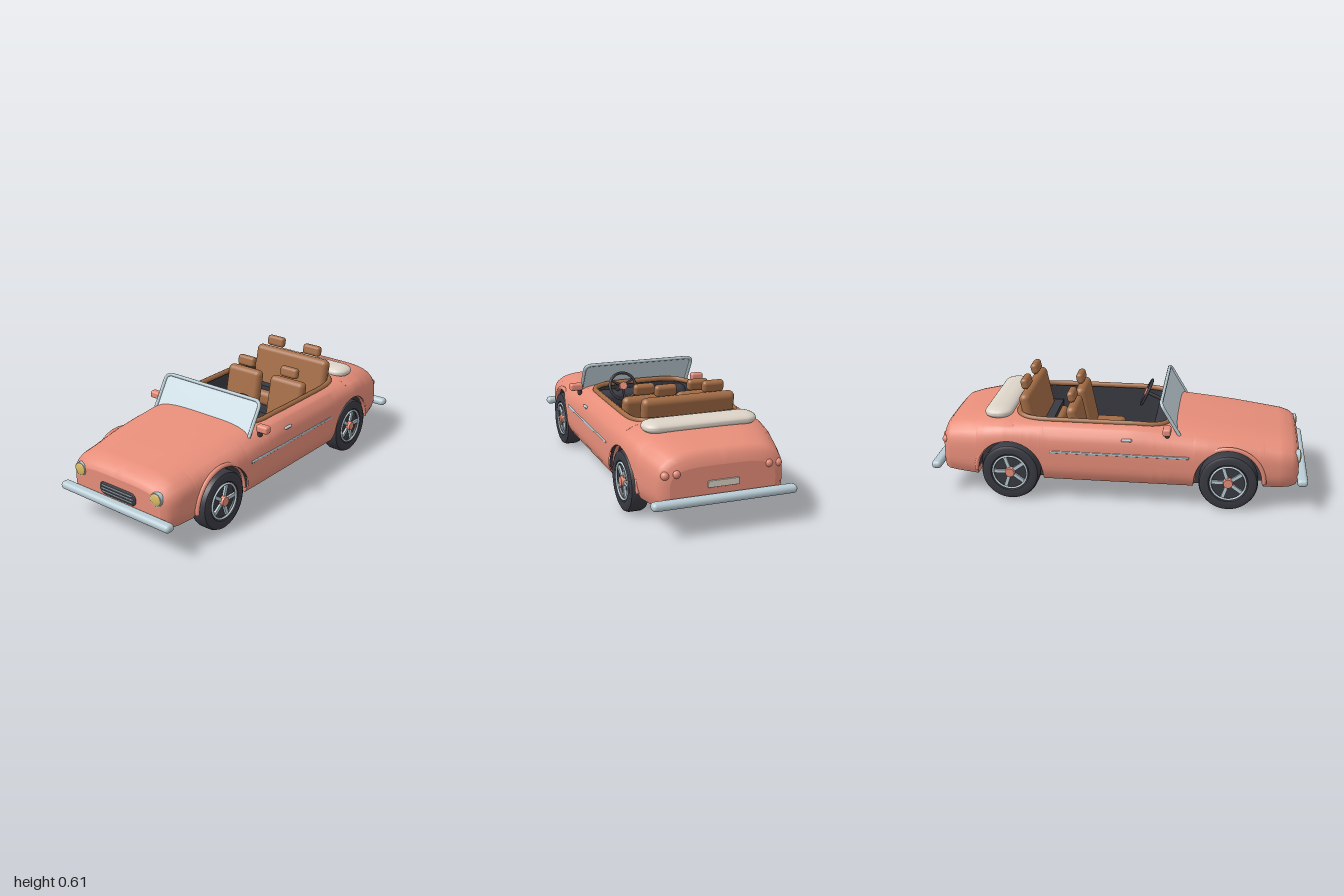
import * as THREE from 'three';
import { mergeVertices, toCreasedNormals } from 'three/addons/utils/BufferGeometryUtils.js';
import { RoundedBoxGeometry } from 'three/addons/geometries/RoundedBoxGeometry.js';

const mat = (name, color, side = THREE.FrontSide) => {
  const m = new THREE.MeshStandardMaterial({ color, side });
  m.name = name;
  return m;
};

// Body stations: z, half width, crown height, bottom height, squareness
const STATIONS = [
  [-0.947, 0.27, 0.325, 0.15, 4], [-0.938, 0.3, 0.365, 0.135, 4], [-0.915, 0.32, 0.39, 0.128, 4],
  [-0.85, 0.34, 0.41, 0.126, 4], [-0.7, 0.375, 0.434, 0.126, 4.5], [-0.6, 0.386, 0.442, 0.126, 5],
  [-0.3, 0.387, 0.446, 0.126, 5], [0.1, 0.387, 0.445, 0.126, 5], [0.3, 0.387, 0.43, 0.126, 4.2],
  [0.48, 0.385, 0.414, 0.126, 4], [0.6, 0.376, 0.402, 0.126, 4], [0.72, 0.358, 0.388, 0.126, 4],
  [0.87, 0.343, 0.367, 0.126, 4], [0.915, 0.33, 0.352, 0.128, 4], [0.94, 0.308, 0.333, 0.135, 4],
  [0.952, 0.28, 0.305, 0.15, 4],
];
const WHEEL_Z = [0.59, -0.565], AXLE_Y = 0.155, ARCH = 0.18, BELT = 0.2;
const PIT_Z = -0.1325, PIT_L = 0.4125, PIT_W = 0.29;

function station(z) {
  let i = 0;
  while (i < STATIONS.length - 2 && z > STATIONS[i + 1][0]) i++;
  const a = STATIONS[i], b = STATIONS[i + 1], t = (z - a[0]) / (b[0] - a[0]);
  return a.map((v, k) => v + (b[k] - v) * t);
}
const inArch = (z) => WHEEL_Z.some((c) => Math.abs(z - c) < ARCH + 1e-5);
function bottomY(z) {
  for (const c of WHEEL_Z)
    if (Math.abs(z - c) < ARCH + 1e-5) return AXLE_Y + Math.sqrt(Math.max(0, ARCH ** 2 - (z - c) ** 2));
  return station(z)[3];
}
function sideX(y, z) {
  const [, w, top, , n] = station(z);
  if (y < BELT) return w * (1 - 0.06 * ((BELT - y) / 0.07) ** 2);
  return w * Math.max(0, 1 - ((y - BELT) / (top - BELT)) ** n) ** (1 / n);
}
function topY(x, z) {
  const [, w, top, , n] = station(z);
  return BELT + (top - BELT) * Math.max(0, 1 - (x / w) ** n) ** (1 / n);
}
function pitX(z) {
  const u = Math.abs(z - PIT_Z) / PIT_L;
  return u >= 1 ? 0 : PIT_W * (1 - u ** 6) ** (1 / 6);
}
// Half cross-section from the sill up and in to the centre or cockpit edge
function section(z) {
  const [, , top] = station(z), y0 = bottomY(z), ym = BELT + 0.85 * (top - BELT), pts = [];
  for (let j = 0; j <= 9; j++) {
    const y = y0 + (ym - y0) * (j / 9);
    pts.push([sideX(y, z), y]);
  }
  const xs = sideX(ym, z), xe = pitX(z);
  for (let j = 1; j <= 8; j++) {
    const x = xs + (xe - xs) * (j / 8);
    pts.push([x, topY(x, z)]);
  }
  return pts;
}
function geometry(pos, idx) {
  let g = new THREE.BufferGeometry();
  g.setAttribute('position', new THREE.Float32BufferAttribute(pos, 3));
  g.setIndex(idx);
  g = mergeVertices(g, 1e-5);
  g.computeVertexNormals();
  return g;
}

export function createModel() {
  const car = new THREE.Group();
  car.name = 'convertible';
  const coral = mat('coralPaint', 0xe78e7a, THREE.DoubleSide), dark = mat('darkRubber', 0x3a3a43, THREE.DoubleSide);
  const chrome = mat('chrome', 0xb9ccd5), glass = mat('glass', 0xc8d8e0, THREE.DoubleSide);
  const leather = mat('brownLeather', 0xa36c45), cream = mat('creamCanvas', 0xddd4c8), lamp = mat('yellowLamp', 0xd9bb63);
  const add = (name, geo, m, x = 0, y = 0, z = 0, parent = car) => {
    const mesh = new THREE.Mesh(geo, m);
    mesh.name = name;
    mesh.position.set(x, y, z);
    parent.add(mesh);
    return mesh;
  };
  const rbox = (w, h, d, r) => new RoundedBoxGeometry(w, h, d, 4, r);

  // Stations along the body, denser at arches and cockpit ends
  let zs = STATIONS.map((s) => s[0]);
  for (let z = -0.9; z <= 0.9; z += 0.05) zs.push(z);
  for (const c of WHEEL_Z) {
    for (let k = 0; k <= 24; k++) zs.push(c + ARCH * Math.cos((k / 24) * Math.PI));
    zs.push(c + ARCH + 0.001, c - ARCH - 0.001);
  }
  for (const a of [30, 45, 55, 63, 70, 76, 80, 84, 87, 89, 89.8, 90])
    for (const s of [1, -1]) zs.push(PIT_Z + s * PIT_L * Math.sin((a * Math.PI) / 180) ** (1 / 3));
  zs = zs.sort((a, b) => a - b).filter((z, i, l) => i === 0 || z - l[i - 1] > 1e-4);

  // Body shell, mirrored halves
  const pos = [], idx = [], N = 18;
  for (const s of [1, -1]) {
    const base = pos.length / 3;
    zs.forEach((z) => section(z).forEach(([x, y]) => pos.push(s * x, y, z)));
    for (let i = 0; i < zs.length - 1; i++)
      for (let j = 0; j < N - 1; j++) {
        const a = base + i * N + j, b = a + 1, c = a + N, d = c + 1;
        idx.push(...(s > 0 ? [a, b, c, b, d, c] : [a, c, b, b, c, d]));
      }
  }
  add('bodyShell', geometry(pos, idx), coral);
  for (const z of [zs[0], zs[zs.length - 1]]) {
    const h = section(z), m = h.slice(0, -1).reverse().map(([x, y]) => [-x, y]);
    const face = new THREE.ShapeGeometry(new THREE.Shape([...h, ...m].map((p) => new THREE.Vector2(...p))));
    if (z < 0) face.rotateY(Math.PI);
    add(z > 0 ? 'nosePanel' : 'tailPanel', face, coral, 0, 0, z);
  }
  // Underside, with dark wheel wells
  for (const well of [false, true]) {
    const p = [], f = [];
    for (let i = 0; i < zs.length - 1; i++) {
      if ((inArch(zs[i]) && inArch(zs[i + 1])) !== well) continue;
      const o = p.length / 3;
      for (const z of [zs[i], zs[i + 1]]) {
        const y = bottomY(z), x = sideX(y, z) - (well ? 0.004 : 0);
        p.push(-x, y, z, x, y, z);
      }
      f.push(o, o + 1, o + 2, o + 1, o + 3, o + 2);
    }
    add(well ? 'wheelWells' : 'underside', geometry(p, f), well ? dark : coral);
  }
  add('floorPan', new THREE.BoxGeometry(0.53, 0.06, 1.44), dark, 0, 0.126, 0.0125);
  for (const z of WHEEL_Z) add('wellInnerWall', new THREE.BoxGeometry(0.53, 0.21, 0.358), dark, 0, 0.235, z);

  // Cockpit tub and padded rim
  const rim = [], root = (v) => Math.sign(v) * Math.abs(v) ** (1 / 3);
  for (let k = 0; k < 72; k++) {
    const a = ((k + 0.5) / 72) * Math.PI * 2;
    const x = PIT_W * root(Math.cos(a)), z = PIT_Z + PIT_L * root(Math.sin(a));
    rim.push(new THREE.Vector3(x, topY(Math.abs(x), z), z));
  }
  const wall = [], wallIdx = [];
  rim.forEach((p, k) => {
    const n = (k + 1) % 72;
    wall.push(p.x, p.y, p.z, p.x, 0.16, p.z);
    wallIdx.push(2 * k, 2 * k + 1, 2 * n, 2 * n, 2 * k + 1, 2 * n + 1);
  });
  add('cockpitWalls', geometry(wall, wallIdx), dark);
  const floor = new THREE.ShapeGeometry(new THREE.Shape(rim.map((p) => new THREE.Vector2(p.x, -p.z))));
  add('cockpitFloor', floor.rotateX(-Math.PI / 2), dark, 0, 0.162, 0);
  add('cockpitRim', new THREE.TubeGeometry(new THREE.CatmullRomCurve3(rim, true), 200, 0.015, 8, true), leather);
  add('dashboard', rbox(0.56, 0.1, 0.1, 0.04), dark, 0, 0.355, 0.23);

  // Windscreen
  const screen = new THREE.Group();
  screen.name = 'windscreen';
  screen.position.set(0, 0.39, 0.33);
  screen.rotation.x = -0.54;
  car.add(screen);
  const outline = new THREE.Shape();
  outline.moveTo(0.322, 0).lineTo(0.322, 0.155).quadraticCurveTo(0.322, 0.195, 0.282, 0.195);
  outline.lineTo(-0.282, 0.195).quadraticCurveTo(-0.322, 0.195, -0.322, 0.155).lineTo(-0.322, 0);
  add('screenGlass', new THREE.ShapeGeometry(outline), glass, 0, 0, 0, screen);
  const path = new THREE.CatmullRomCurve3(outline.getSpacedPoints(80).map((p) => new THREE.Vector3(p.x, p.y, 0)));
  add('screenFrame', new THREE.TubeGeometry(path, 120, 0.0095, 8), chrome, 0, 0, 0, screen);

  // Seats: cushion, leaning back and headrests
  const seat = (name, x, z, w, lift, depth, rests) => {
    const g = new THREE.Group();
    g.name = name;
    g.position.set(x, lift, z);
    car.add(g);
    add('cushion', rbox(w, 0.09, depth, 0.03), leather, 0, 0.215, depth / 2 - 0.01, g);
    add('backrest', rbox(w, 0.3, 0.062, 0.03), leather, 0, 0.345, -0.035, g).rotation.x = -0.2;
    for (const r of rests) add('headrest', rbox(0.115, 0.06, 0.042, 0.018), leather, r, 0.528, -0.07, g).rotation.x = -0.2;
  };
  seat('frontSeatLeft', 0.15, -0.19, 0.23, 0, 0.185, [0]);
  seat('frontSeatRight', -0.15, -0.19, 0.23, 0, 0.185, [0]);
  seat('rearBench', 0, -0.443, 0.5, 0.055, 0.105, [-0.127, 0.127]);
  add('foldedRoof', rbox(0.595, 0.15, 0.15, 0.068).scale(1, 0.42, 1), cream, 0, 0.447, -0.643);

  // Steering wheel
  const steer = new THREE.Group();
  steer.name = 'steeringWheel';
  steer.position.set(0.14, 0.452, 0.115);
  steer.rotation.x = 0.42;
  car.add(steer);
  add('steeringRim', new THREE.TorusGeometry(0.075, 0.008, 8, 32), dark, 0, 0, 0, steer);
  for (let k = 0; k < 3; k++) {
    const spoke = new THREE.BoxGeometry(0.012, 0.075, 0.008).translate(0, 0.0375, 0);
    add('steeringSpoke', spoke, dark, 0, 0, 0, steer).rotation.z = Math.PI + (k * Math.PI * 2) / 3;
  }
  add('steeringHub', new THREE.CylinderGeometry(0.022, 0.022, 0.02, 20).rotateX(Math.PI / 2), coral, 0, 0, -0.004, steer);
  add('steeringColumn', new THREE.CylinderGeometry(0.01, 0.01, 0.14, 12).rotateX(Math.PI / 2), dark, 0, 0, 0.075, steer);

  // Wheels with spoked rims, and arch lips
  const tyreProfile = [[0, -0.045], [0.1, -0.045], [0.135, -0.05], [0.149, -0.043], [0.155, -0.028], [0.155, 0.028],
    [0.149, 0.043], [0.135, 0.05], [0.104, 0.047], [0.095, 0.025], [0, 0.025]].map((p) => new THREE.Vector2(...p));
  const tyre = toCreasedNormals(new THREE.LatheGeometry(tyreProfile, 40), 0.7);
  for (const s of [1, -1])
    for (const z of WHEEL_Z) {
      const wheel = new THREE.Group();
      wheel.name = (z > 0 ? 'front' : 'rear') + 'Wheel' + (s > 0 ? 'Left' : 'Right');
      wheel.position.set(s * 0.33, AXLE_Y, z);
      wheel.rotation.z = (-s * Math.PI) / 2;
      car.add(wheel);
      add('tyre', tyre, dark, 0, 0, 0, wheel);
      add('rimRing', new THREE.TorusGeometry(0.092, 0.006, 8, 40).rotateX(Math.PI / 2), chrome, 0, 0.044, 0, wheel);
      for (let k = 0; k < 5; k++) {
        const spoke = new THREE.BoxGeometry(0.09, 0.012, 0.018).translate(0.045, 0, 0);
        add('wheelSpoke', spoke, chrome, 0, 0.036, 0, wheel).rotation.y = (k * Math.PI * 2) / 5 + Math.PI / 10;
      }
      add('wheelHub', new THREE.CylinderGeometry(0.024, 0.028, 0.022, 20), coral, 0, 0.043, 0, wheel);
      const lip = new THREE.TorusGeometry(0.185, 0.012, 8, 36, Math.PI).rotateY(Math.PI / 2);
      add('archLip', lip, coral, s * 0.357, AXLE_Y, z);
    }

  // Bumpers and plates
  for (const s of [1, -1])
    add(s > 0 ? 'frontBumper' : 'rearBumper', rbox(0.74, 0.042, 0.055, 0.02), chrome, 0, 0.169, s * 0.9725);
  add('frontPlate', rbox(0.16, 0.035, 0.009, 0.003), cream, 0, 0.138, 0.945).rotation.x = 0.75;
  add('rearPlate', rbox(0.16, 0.035, 0.009, 0.003), cream, 0, 0.235, -0.949);

  // Grille
  const mouth = new THREE.CapsuleGeometry(0.035, 0.18, 8, 24).rotateZ(Math.PI / 2).scale(1, 1, 0.2);
  add('grille', mouth, dark, 0, 0.225, 0.952);
  for (const [y, w] of [[0.243, 0.2], [0.226, 0.21], [0.209, 0.2]])
    add('grilleBar', new THREE.CapsuleGeometry(0.004, w, 4, 8).rotateZ(Math.PI / 2), chrome, 0, y, 0.959);

  // Mirrored side fittings and lights
  for (const s of [1, -1]) {
    add('headlightRing', new THREE.CylinderGeometry(0.036, 0.038, 0.06, 32).rotateX(Math.PI / 2), chrome, s * 0.257, 0.278, 0.925);
    add('headlight', new THREE.SphereGeometry(0.032, 24, 16).scale(1, 1, 0.25), lamp, s * 0.257, 0.278, 0.955);
    add('tailLightInner', new THREE.SphereGeometry(0.021, 16, 12), coral, s * 0.235, 0.3, -0.937);
    add('tailLightOuter', new THREE.SphereGeometry(0.021, 16, 12), coral, s * 0.288, 0.295, -0.929);
    add('sideTrim', rbox(0.01, 0.013, 0.73, 0.004), chrome, s * 0.384, 0.29, 0.02);
    add('doorHandle', rbox(0.02, 0.014, 0.056, 0.006), chrome, s * 0.373, 0.37, 0.06);
    add('mirrorStem', rbox(0.024, 0.04, 0.024, 0.01), dark, s * 0.347, 0.402, 0.268);
    add('mirror', rbox(0.072, 0.04, 0.042, 0.012), coral, s * 0.368, 0.431, 0.268);
  }
  return car;
}
